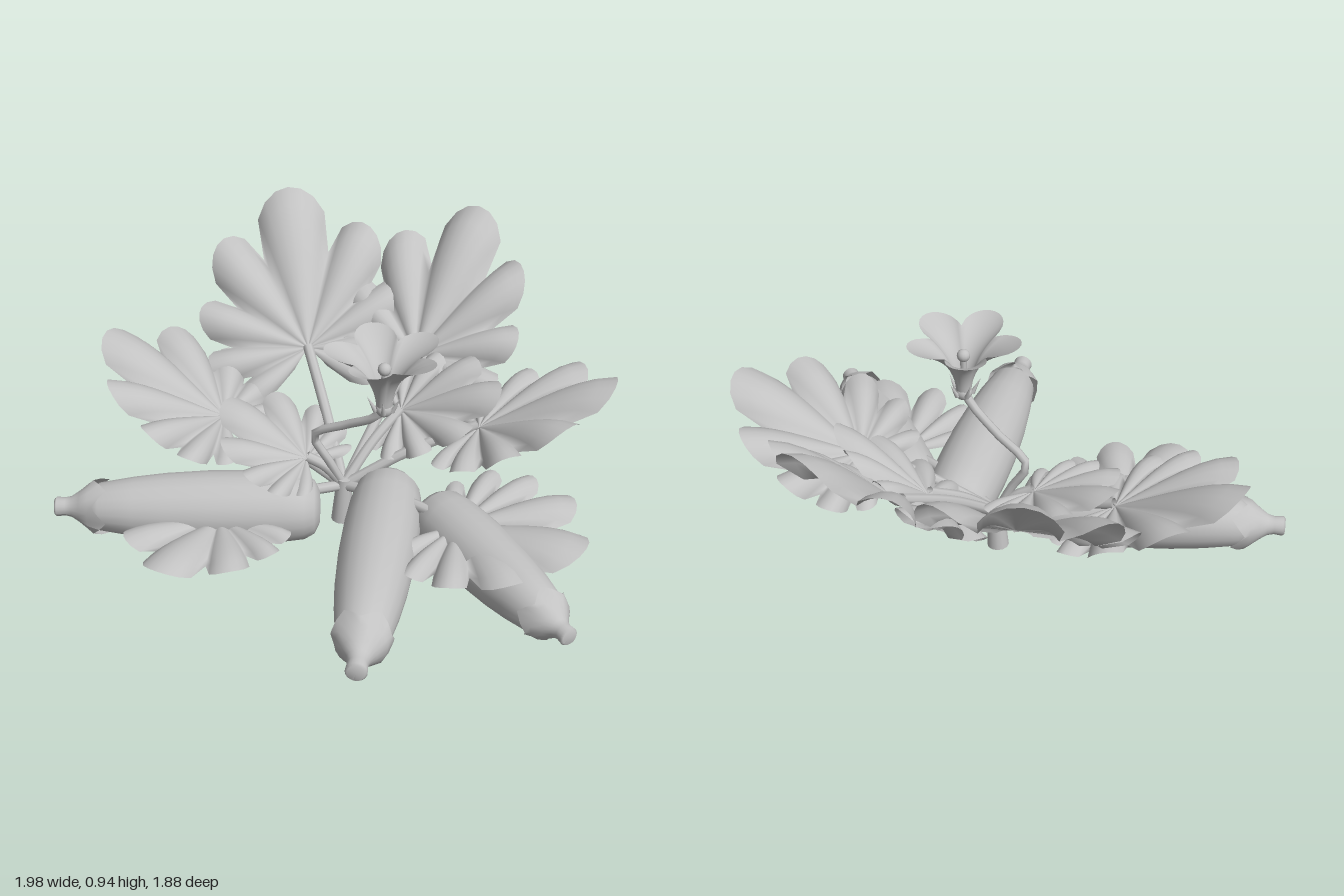
import * as THREE from 'three';

const V = (x, y, z) => new THREE.Vector3(x, y, z);

export function createModel() {
  const plant = new THREE.Group();
  plant.name = 'courgettePlant';
  const grey = new THREE.MeshStandardMaterial({ color: 0xc2c2c2, side: THREE.DoubleSide });
  grey.name = 'plain grey';

  const add = (parent, name, geometry) => {
    const mesh = new THREE.Mesh(geometry, grey);
    mesh.name = name;
    parent.add(mesh);
    return mesh;
  };

  // Smooth sheet from a rule that maps (u, v) in 0..1 to a point
  const sheet = (nu, nv, rule) => {
    const g = new THREE.PlaneGeometry(1, 1, nu, nv);
    const p = g.attributes.position;
    for (let j = 0, k = 0; j <= nv; j++) {
      for (let i = 0; i <= nu; i++, k++) p.setXYZ(k, ...rule(i / nu, j / nv).toArray());
    }
    g.computeVertexNormals();
    return g;
  };

  const stalk = (name, radius, ...points) =>
    add(plant, name, new THREE.TubeGeometry(new THREE.CatmullRomCurve3(points), 14, radius, 8));

  // Courgettes: blunt end at start, cap and stem at tip
  const fruitProfile = [[0, 0], [0.06, 0.003], [0.1, 0.022], [0.122, 0.06], [0.132, 0.14], [0.137, 0.27],
    [0.136, 0.42], [0.126, 0.58], [0.112, 0.7], [0.09, 0.83], [0.05, 0.89], [0, 0.9]];
  const capProfile = [[0.105, 0.825], [0.088, 0.87], [0.06, 0.905], [0.04, 0.935], [0.034, 0.96],
    [0.037, 0.992], [0.03, 1], [0, 1]];
  const courgette = (start, tip, girth) => {
    const group = new THREE.Group();
    group.name = 'courgette';
    const axis = tip.clone().sub(start);
    const length = axis.length();
    const points = (list) => list.map(([r, t]) => new THREE.Vector2(r * girth, t * length));
    add(group, 'fruitBody', new THREE.LatheGeometry(points(fruitProfile), 20));
    const cap = new THREE.LatheGeometry(points(capProfile), 20);
    // Scalloped lower edge of the cap
    const p = cap.attributes.position;
    for (let i = 0; i < p.count; i++) {
      const t = p.getY(i) / length;
      if (t < 0.85) p.setY(i, p.getY(i) - 0.025 * Math.cos(5 * Math.atan2(p.getZ(i), p.getX(i))));
    }
    cap.computeVertexNormals();
    add(group, 'fruitCapAndStem', cap);
    group.position.copy(start);
    group.quaternion.setFromUnitVectors(V(0, 1, 0), axis.normalize());
    plant.add(group);
  };
  courgette(V(0.11, 0.145, -0.09), V(0.42, 0.14, 0.94), 1);
  courgette(V(0.31, 0.135, -0.02), V(0.985, 0.135, 0.49), 0.91);
  courgette(V(-0.07, 0.143, 0.13), V(-0.955, 0.145, 0.515), 0.97);

  // Lobed leaf: boundary angle, notch radius there, and length of the lobe that follows
  const notches = [[-138, 0.16, 0.5], [-108, 0.4, 0.66], [-82, 0.5, 0.74], [-54, 0.54, 0.86], [-20, 0.64, 1],
    [20, 0.64, 0.86], [54, 0.54, 0.74], [82, 0.5, 0.66], [108, 0.4, 0.5], [138, 0.16, 0]];
  const lobes = notches.length - 1;
  const leaf = (base, tip, up, width) => {
    const along = tip.clone().sub(base);
    const length = along.length();
    along.normalize();
    const side = new THREE.Vector3().crossVectors(up, along).normalize();
    const normal = new THREE.Vector3().crossVectors(along, side);
    const rule = (u, v) => {
      const n = Math.min(lobes - 1, Math.floor(u * lobes + 1e-6));
      const f = u * lobes - n;
      const d = Math.min(1, Math.abs(2 * f - 1));
      const [a0, r0, reach] = notches[n];
      const [a1, r1] = notches[n + 1];
      const angle = THREE.MathUtils.degToRad(a0 + (a1 - a0) * f);
      const notch = r0 + (r1 - r0) * f;
      const r = v * (notch + (reach - (r0 + r1) / 2) * Math.sqrt(1 - d * d));
      // Each lobe bulges between creases and bends over at its end
      const lift = 0.15 * r * (1 - d * d) - 0.1 * r * v ** 4 - 0.02;
      return base.clone()
        .addScaledVector(along, r * length * Math.cos(angle))
        .addScaledVector(side, r * length * width * Math.sin(angle))
        .addScaledVector(normal, lift * length);
    };
    add(plant, 'leaf', sheet(lobes * 8, 8, rule));
  };

  // Leaves with their stalks, all rising from the crown
  const crown = V(-0.035, 0.17, 0);
  const leaves = [
    [V(-0.35, 0.49, -0.38), V(-0.62, 0.93, -0.79), V(0.1, 1, 0.35), 0.88],
    [V(0.05, 0.5, -0.47), V(0.13, 0.92, -0.94), V(0, 1, 0.3), 0.84],
    [V(0.4, 0.41, -0.22), V(0.88, 0.63, -0.33), V(-0.2, 1, 0), 0.95],
    [V(0.08, 0.38, -0.26), V(0.47, 0.53, -0.28), V(-0.2, 0.85, 0.45), 0.82],
    [V(-0.5, 0.38, 0.03), V(-0.99, 0.61, 0.03), V(0.25, 1, 0), 0.92],
    [V(-0.16, 0.29, 0.05), V(-0.51, 0.42, 0.02), V(0.3, 1, 0.1), 1],
    [V(-0.38, 0.14, 0.33), V(-0.41, 0.15, 0.74), V(0, 1, 0.1), 1.05],
    [V(0.45, 0.2, 0.11), V(0.93, 0.23, 0.14), V(-0.1, 1, 0), 1.15],
  ];
  for (const [base, tip, up, width] of leaves) {
    leaf(base, tip, up, width);
    const bend = crown.clone().lerp(base, 0.5);
    bend.y += 0.02;
    stalk('leafStalk', 0.02, crown, bend, base);
  }

  // Crown stump
  const stump = add(plant, 'crownStump', new THREE.CylinderGeometry(0.028, 0.04, 0.18, 12));
  stump.position.set(-0.038, 0.11, 0);
  stump.rotation.z = -0.06;

  // Flower on a bent stalk
  stalk('flowerStalk', 0.016, crown, V(-0.08, 0.28, 0.03), V(-0.13, 0.39, 0.05), V(0, 0.47, 0.06),
    V(0.12, 0.54, 0.08), V(0.155, 0.59, 0.08));
  const flower = new THREE.Group();
  flower.name = 'flower';
  flower.position.set(0.155, 0.57, 0.08);
  plant.add(flower);
  const funnel = new THREE.CatmullRomCurve3(
    [V(0.025, 0, 0), V(0.035, 0.07, 0), V(0.065, 0.14, 0), V(0.12, 0.2, 0), V(0.21, 0.26, 0)]);
  add(flower, 'petals', sheet(60, 12, (u, v) => {
    const a = u * Math.PI * 2;
    const petal = Math.abs(Math.cos(2.5 * (a - 0.3))) ** 0.7;
    const q = funnel.getPoint(v * (1 - 0.22 * (1 - petal) * v));
    const r = q.x * (1 - 0.12 * (1 - petal) * v);
    return V(r * Math.cos(a), q.y - 0.025 * petal * v * v + 0.01 * v, r * Math.sin(a));
  }));
  add(flower, 'pistil', new THREE.SphereGeometry(0.024, 12, 8)).position.y = 0.17;
  add(flower, 'pistilStem', new THREE.CylinderGeometry(0.012, 0.012, 0.15, 8)).position.y = 0.085;
  add(flower, 'flowerBase', new THREE.SphereGeometry(0.032, 12, 8)).position.y = 0.015;
  for (let i = 0; i < 5; i++) {
    const a = (i / 5) * Math.PI * 2;
    const sepal = add(flower, 'sepal', new THREE.ConeGeometry(0.01, 0.07, 6));
    sepal.position.set(0.046 * Math.cos(a), 0.04, 0.046 * Math.sin(a));
    sepal.quaternion.setFromUnitVectors(V(0, 1, 0), V(Math.cos(a) * 0.5, 1, Math.sin(a) * 0.5).normalize());
  }

  return plant;
}
